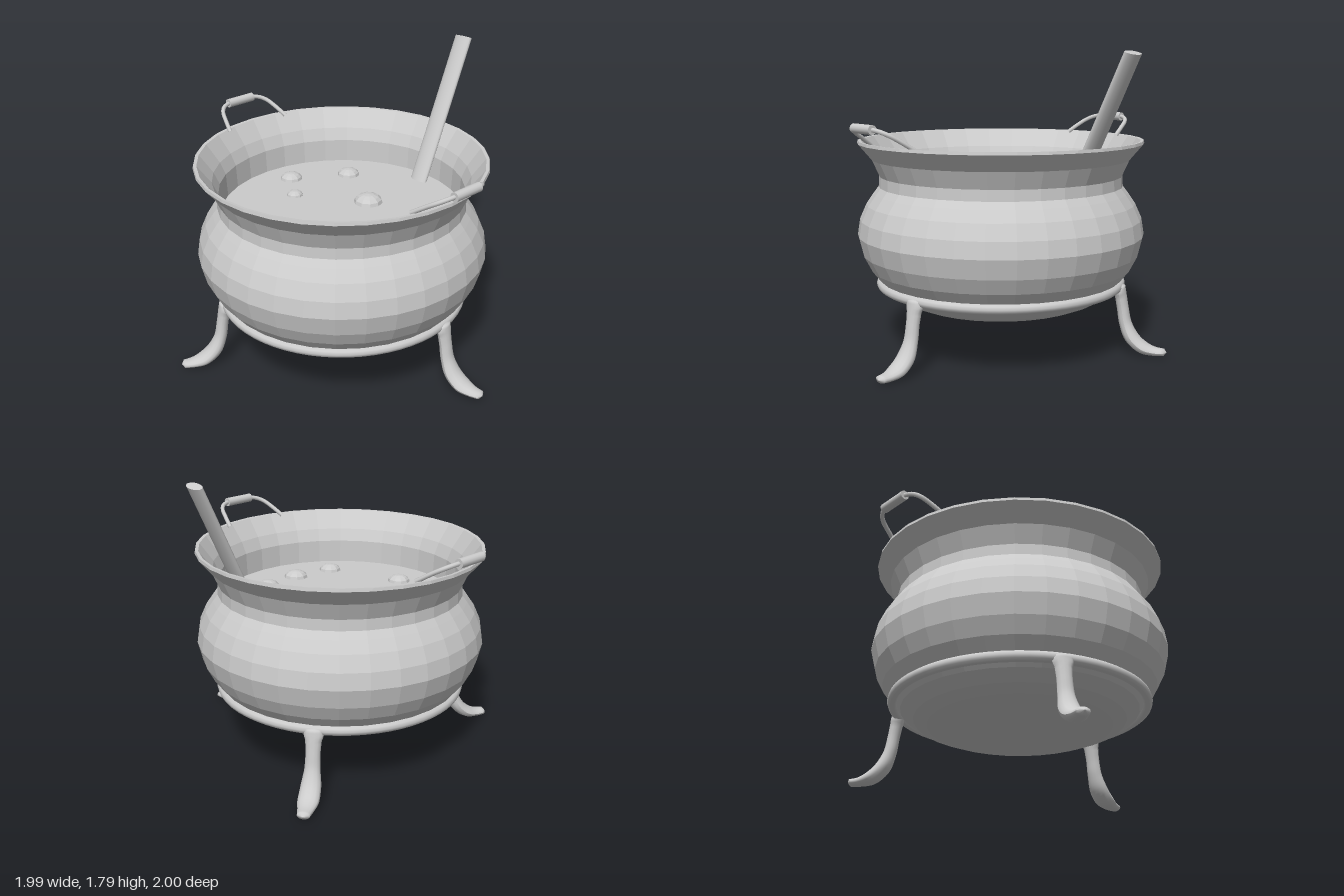
import * as THREE from 'three';

const flat = new THREE.MeshStandardMaterial({ color: 0xcccccc, flatShading: true, side: THREE.DoubleSide });
const smooth = new THREE.MeshStandardMaterial({ color: 0xcccccc });
const liquidY = 0.95;
const V3 = (x, y, z) => new THREE.Vector3(x, y, z);

function add(parent, name, geometry, material) {
  const mesh = new THREE.Mesh(geometry, material);
  mesh.name = name;
  parent.add(mesh);
  return mesh;
}

// Curved leg in the xy plane: a tube whose height and width vary along its path
function legGeometry() {
  const path = new THREE.CatmullRomCurve3([
    V3(0.733, 0.43, 0), V3(0.746, 0.36, 0), V3(0.76, 0.28, 0), V3(0.777, 0.19, 0),
    V3(0.817, 0.105, 0), V3(0.882, 0.05, 0), V3(0.95, 0.03, 0), V3(1.025, 0.028, 0),
  ]);
  // x: half thickness, y: half width
  const sizes = new THREE.CatmullRomCurve3([
    V3(0.035, 0.048, 0), V3(0.035, 0.048, 0), V3(0.035, 0.043, 0), V3(0.037, 0.046, 0),
    V3(0.042, 0.059, 0), V3(0.037, 0.062, 0), V3(0.026, 0.047, 0), V3(0.02, 0.033, 0),
  ]);
  const rings = 36, sides = 14;
  const geo = new THREE.TubeGeometry(path, rings, 1, sides);
  const pos = geo.attributes.position;
  for (let i = 0; i <= rings; i++) {
    const centre = path.getPointAt(i / rings);
    const size = sizes.getPoint(path.getUtoTmapping(i / rings));
    const end = i === 0 || i === rings ? 0.01 : 1; // close both ends
    for (let j = 0; j <= sides; j++) {
      const k = i * (sides + 1) + j;
      pos.setXYZ(k,
        centre.x + (pos.getX(k) - centre.x) * size.x * end,
        centre.y + (pos.getY(k) - centre.y) * size.x * end,
        pos.getZ(k) * size.y * end);
    }
  }
  geo.computeVertexNormals();
  return geo;
}

// Bent wire with a cylindrical grip, on the +x side
function makeHandle(name) {
  const handle = new THREE.Group();
  handle.name = name;
  handle.position.z = 0.008;
  const half = [[0.775, 1.268, 0.22], [0.85, 1.317, 0.197], [0.905, 1.35, 0.175],
    [0.938, 1.369, 0.142], [0.955, 1.378, 0.09]];
  const points = half.map(([x, y, z]) => V3(x, y, z));
  const mirrored = half.map(([x, y, z]) => V3(x, y, -z)).reverse();
  const path = new THREE.CatmullRomCurve3([...points, ...mirrored]);
  add(handle, 'handleWire', new THREE.TubeGeometry(path, 48, 0.013, 8), smooth);
  const grip = add(handle, 'handleGrip', new THREE.CylinderGeometry(0.027, 0.027, 0.19, 14), smooth);
  grip.rotation.x = Math.PI / 2;
  grip.position.set(0.957, 1.378, 0);
  return handle;
}

export function createModel() {
  const model = new THREE.Group();
  model.name = 'cauldron';
  const pot = new THREE.Group();
  pot.name = 'pot';
  pot.position.set(-0.005, 0, 0.077);
  model.add(pot);

  // Shell: outside from the base up to the rim, then down the inside
  const profile = [
    [0.001, 0.285], [0.53, 0.285], [0.61, 0.317], [0.685, 0.37], [0.735, 0.434], [0.792, 0.505],
    [0.839, 0.595], [0.867, 0.709], [0.852, 0.805], [0.812, 0.895], [0.767, 0.96], [0.737, 1],
    [0.734, 1.064], [0.779, 1.164], [0.86, 1.26], [0.857, 1.277],
    [0.838, 1.275], [0.758, 1.165], [0.725, 1.09], [0.717, 0.93],
  ].map(([r, y]) => new THREE.Vector2(r, y));
  add(pot, 'shell', new THREE.LatheGeometry(profile, 32), flat);

  // Band around the lower body
  const band = add(pot, 'band', new THREE.TorusGeometry(0.729, 0.03, 10, 64), smooth);
  band.rotation.x = Math.PI / 2;
  band.position.y = 0.41;

  // Liquid surface
  const liquid = add(pot, 'liquid', new THREE.CircleGeometry(0.72, 32), flat);
  liquid.rotation.x = -Math.PI / 2;
  liquid.position.y = liquidY;

  // Legs
  const legGeo = legGeometry();
  for (const angle of [-10, 116, -124]) {
    const leg = add(pot, 'leg', legGeo, smooth);
    leg.rotation.y = -THREE.MathUtils.degToRad(angle);
  }

  // Handles on both sides
  pot.add(makeHandle('leftHandle'));
  const right = makeHandle('rightHandle');
  right.rotation.y = Math.PI;
  pot.add(right);

  // Bubbles: x, z, radius
  const bubbles = [[-0.335, -0.28, 0.07], [-0.535, 0.03, 0.07], [-0.33, 0.172, 0.05],
    [0.047, -0.09, 0.088], [0.43, -0.12, 0.07], [0.453, 0.135, 0.075], [0.407, 0.395, 0.07],
    [-0.065, 0.543, 0.07]];
  const dome = new THREE.SphereGeometry(1, 10, 4, 0, Math.PI * 2, 0, Math.PI / 2);
  for (const [x, z, r] of bubbles) {
    const bubble = add(model, 'bubble', dome, flat);
    bubble.position.set(x, liquidY, z);
    bubble.scale.set(r, r * 0.6, r);
  }

  // Flattened stirring stick leaning out over the back
  const top = V3(-0.02, 1.785, -0.975), bottom = V3(0.034, 0.84, -0.498);
  const axis = top.clone().sub(bottom);
  const stickGeo = new THREE.CylinderGeometry(0.063, 0.063, axis.length(), 16);
  stickGeo.scale(1, 1, 0.4);
  const stick = add(model, 'stirringStick', stickGeo, smooth);
  stick.position.copy(top).add(bottom).multiplyScalar(0.5);
  stick.quaternion.setFromUnitVectors(V3(0, 1, 0), axis.normalize());

  return model;
}
